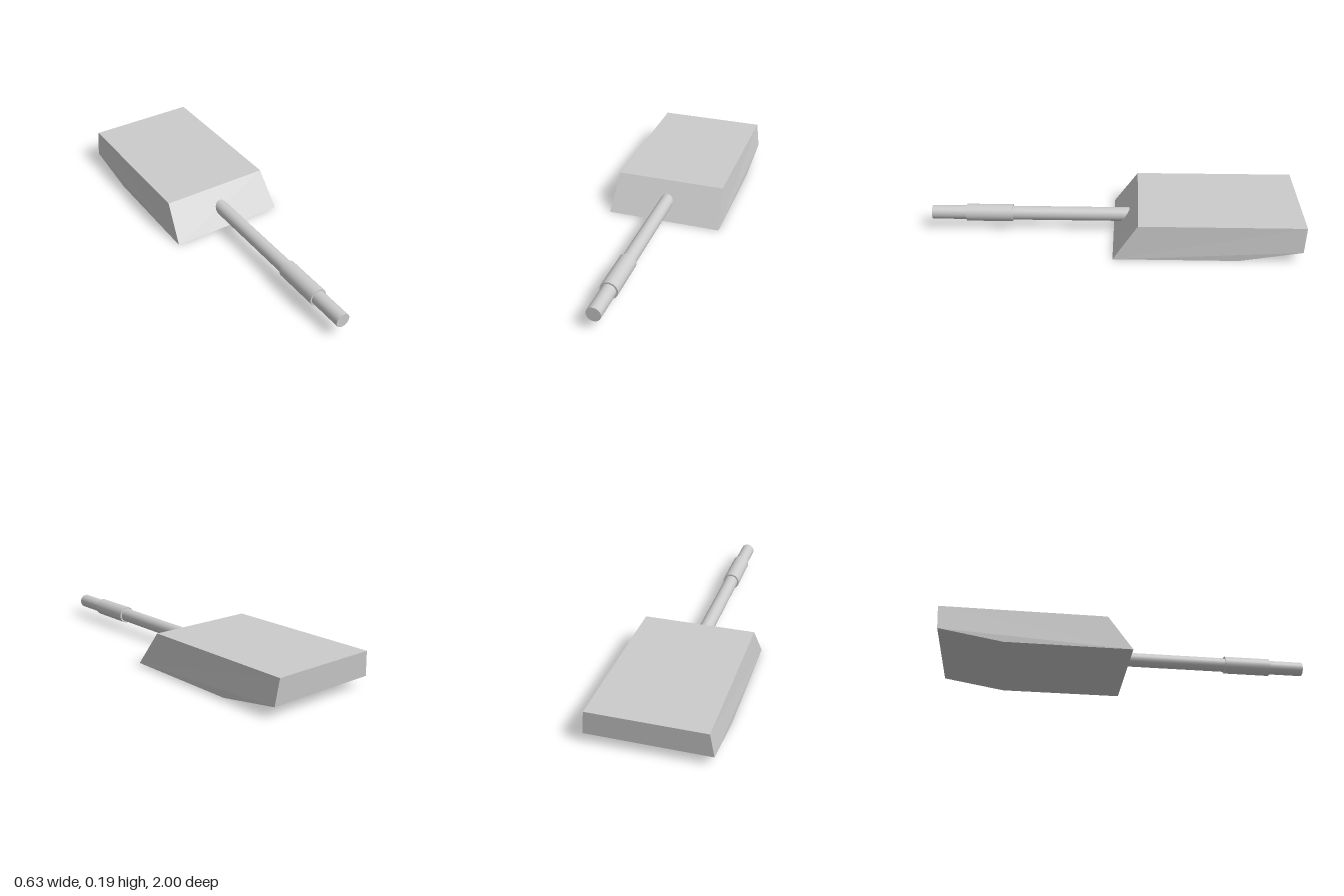
import * as THREE from 'three';

export function createModel() {
  const group = new THREE.Group();
  const material = new THREE.MeshStandardMaterial({ color: 0xcccccc });
  const flat = new THREE.MeshStandardMaterial({ color: 0xcccccc, flatShading: true });

  // Wedge body: side profile as (z, y), extruded across the width
  const profile = [[0, 0], [-0.13, 0.19], [-1, 0.19], [-0.99, 0.055], [-0.66, 0]];
  const shape = new THREE.Shape(profile.map(([z, y]) => new THREE.Vector2(z, y)));
  const bodyGeometry = new THREE.ExtrudeGeometry(shape, { depth: 1, bevelEnabled: false });
  bodyGeometry.translate(0, 0, -0.5).rotateY(-Math.PI / 2);

  // Sides lean inward towards the roof
  const pos = bodyGeometry.attributes.position;
  for (let i = 0; i < pos.count; i++) {
    pos.setX(i, Math.sign(pos.getX(i)) * (pos.getY(i) > 0.1 ? 0.299 : 0.317));
  }
  bodyGeometry.computeVertexNormals();
  const body = new THREE.Mesh(bodyGeometry, flat);
  body.name = 'body';
  group.add(body);

  // Round parts lying along z
  const addTube = (name, radius, z0, z1) => {
    const geometry = new THREE.CylinderGeometry(radius, radius, z1 - z0, 32).rotateX(Math.PI / 2);
    const mesh = new THREE.Mesh(geometry, material);
    mesh.position.set(-0.003, 0.088, (z0 + z1) / 2);
    mesh.name = name;
    group.add(mesh);
  };
  addTube('barrel', 0.038, -0.12, 1);
  addTube('barrelSleeve', 0.047, 0.555, 0.81);

  return group;
}
